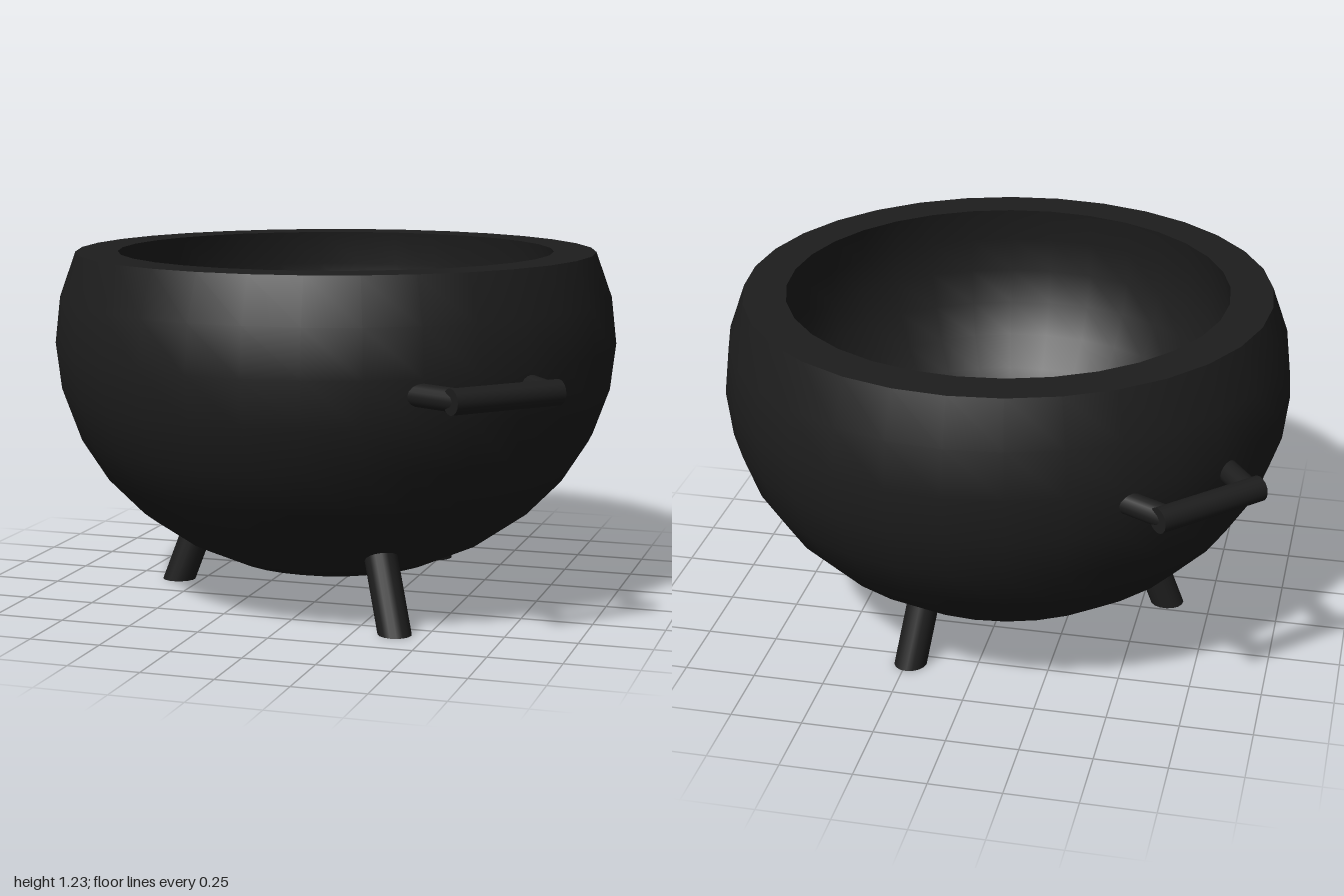
import * as THREE from 'three';

const SIDES = 32;
const RIM_Y = 1.2334;

// Vertical profile of a squashed sphere, from its bottom pole up to the cut at the rim
function bowlProfile(radius, height, centerY) {
  const start = -Math.PI / 2;
  const end = Math.asin((RIM_Y - centerY) / height);
  return Array.from({ length: 11 }, (_, i) => {
    const a = start + ((end - start) * i) / 10;
    return new THREE.Vector2(Math.max(0, radius * Math.cos(a)), centerY + height * Math.sin(a));
  });
}

// Leg leaning inward (toward -x) as it rises, with its foot cut flat on the ground
function legGeometry(lean) {
  const h = 0.3;
  const g = new THREE.CylinderGeometry(0.057, 0.057, h, 16).translate(0, h / 2, 0);
  g.scale(1.07, 1, 1);
  g.applyMatrix4(new THREE.Matrix4().set(1, -lean, 0, 0, 0, 1, 0, 0, 0, 0, 1, 0, 0, 0, 0, 1));
  return g;
}

export function createModel() {
  const model = new THREE.Group();
  model.name = 'cauldron';
  const iron = new THREE.MeshStandardMaterial({ color: 0x1d1d1d });
  iron.name = 'blackIron';

  const add = (parent, name, geometry) => {
    const mesh = new THREE.Mesh(geometry, iron);
    mesh.name = name;
    parent.add(mesh);
    return mesh;
  };

  // Bowl: outer wall, shallower hollow inside and the flat rim between them
  const outer = bowlProfile(1, 0.845, 0.91);
  const inner = bowlProfile(0.8, 0.69, 1.062);
  const rim = [outer.at(-1).clone(), inner.at(-1).clone()];
  add(model, 'bowlOuter', new THREE.LatheGeometry(outer, SIDES));
  add(model, 'bowlInner', new THREE.LatheGeometry(inner.reverse(), SIDES));
  add(model, 'rim', new THREE.LatheGeometry(rim, SIDES));

  // Three splayed legs: foot position, direction and amount of lean
  const legs = [
    ['frontLeg', 0.39, 0.575, 0.81, 0.42],
    ['rightLeg', -0.59, 0.065, 3.03, 0.38],
    ['backLeg', 0.235, -0.55, -1.17, 0.38],
  ];
  for (const [name, x, z, angle, lean] of legs) {
    const mesh = add(model, name, legGeometry(lean));
    mesh.position.set(x, 0, z);
    mesh.rotation.y = -angle;
  }

  // Two handles on opposite sides: a thick grip held by two thinner splayed arms
  const grip = new THREE.CylinderGeometry(0.043, 0.043, 0.408, 16).rotateX(Math.PI / 2);
  const arm = new THREE.CylinderGeometry(0.039, 0.039, 0.2, 16).rotateZ(Math.PI / 2).translate(-0.1, 0, 0);
  const handles = [
    ['frontHandle', 0.806, 0.778, 0.75],
    ['backHandle', -0.816, -0.758, 0.785 + Math.PI],
  ];
  for (const [name, x, z, angle] of handles) {
    const handle = new THREE.Group();
    handle.name = name;
    handle.position.set(x, 0.857, z);
    handle.rotation.y = -angle;
    add(handle, 'grip', grip);
    for (const [side, splay] of [[-1, 0.19], [1, 0.29]]) {
      const mesh = add(handle, 'arm', arm);
      mesh.position.z = side * 0.166;
      mesh.rotation.y = side * splay;
    }
    model.add(handle);
  }

  return model;
}
